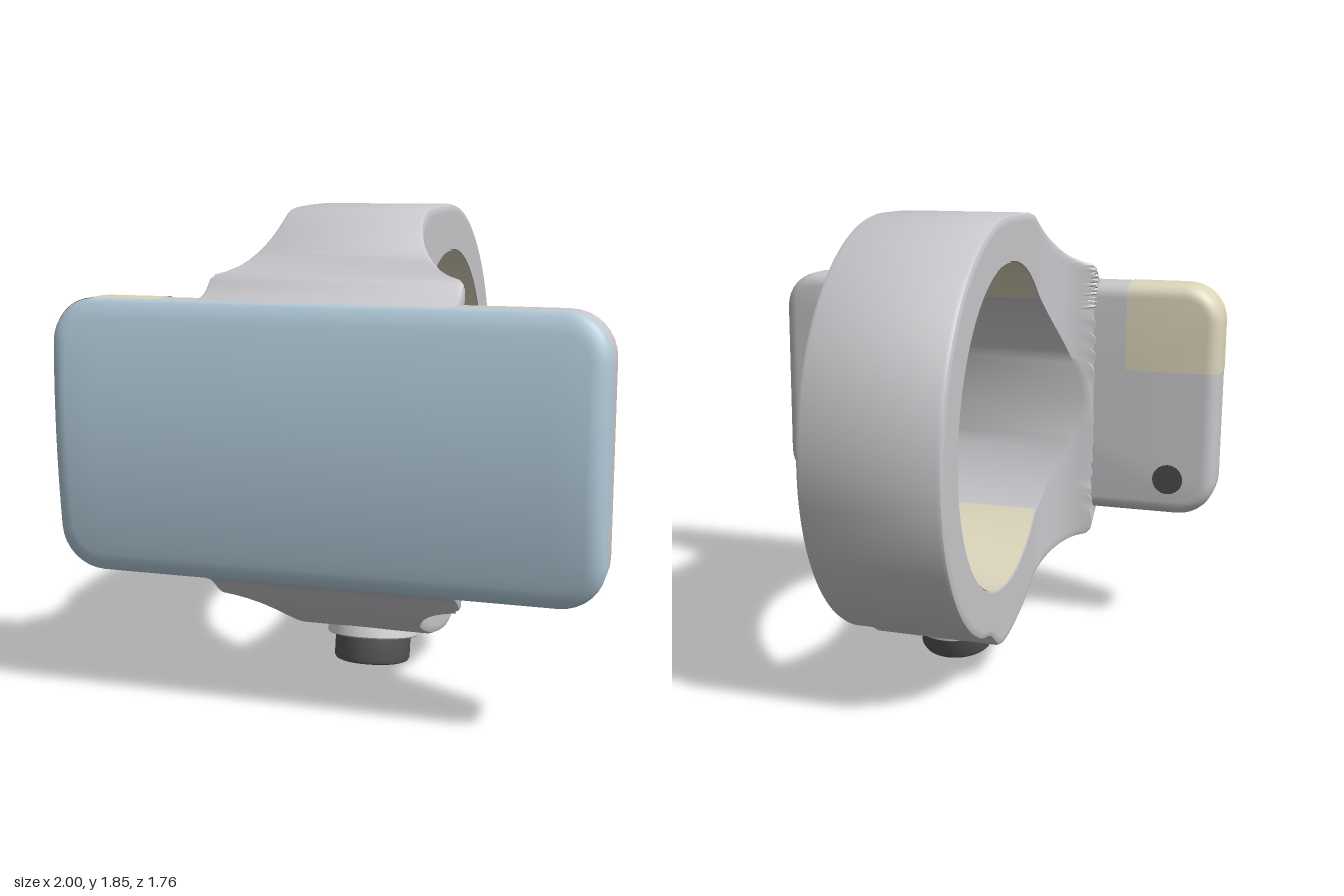
import * as THREE from 'three';
import { toCreasedNormals } from 'three/addons/utils/BufferGeometryUtils.js';

const mat = (name, color, side = THREE.FrontSide) => {
  const m = new THREE.MeshStandardMaterial({ color, side });
  m.name = name;
  return m;
};
const V = (x, y, z) => new THREE.Vector3(x, y, z);

// Skin a grid of points, rows by columns
function skin(rows, crease = 0.6) {
  const cols = rows[0].length, index = [];
  for (let i = 0; i < rows.length - 1; i++) {
    for (let j = 0; j < cols - 1; j++) {
      const a = i * cols + j, b = a + cols;
      index.push(a, b, b + 1, a, b + 1, a + 1);
    }
  }
  const g = new THREE.BufferGeometry().setFromPoints(rows.flat());
  g.setIndex(index);
  return toCreasedNormals(g, crease);
}

// Plate dimensions
const CY = 1.04, HX = 1, HY = 0.5, R = 0.16, BACK = 0.62, RIM = 0.8;

// Points of one rounded corner; inset shrinks it about its own centre
function corner(sx, sy, start, inset) {
  const pts = [];
  for (let k = 0; k <= 8; k++) {
    const a = start + (k / 8) * Math.PI / 2, r = R - inset;
    pts.push([sx * (HX - R) + r * Math.cos(a), CY + sy * (HY - R) + r * Math.sin(a)]);
  }
  return pts;
}

// Closed rounded rectangle with subdivided sides
function outline(inset) {
  const corners = [[1, 1], [-1, 1], [-1, -1], [1, -1]].map(([sx, sy], k) => corner(sx, sy, k * Math.PI / 2, inset));
  const pts = [];
  corners.forEach((c, k) => {
    pts.push(...c);
    const p = c[8], q = corners[(k + 1) % 4][0];
    for (let s = 1; s < 10; s++) pts.push([p[0] + (q[0] - p[0]) * s / 10, p[1] + (q[1] - p[1]) * s / 10]);
  });
  pts.push(pts[0]);
  return pts;
}

// Plate edge from the rim to the rounded back: [inset, z]
const edge = [[0, RIM]];
for (let k = 0; k <= 6; k++) {
  const a = (k / 6) * Math.PI / 2;
  edge.push([0.06 * (1 - Math.cos(a)), BACK + 0.06 * (1 - Math.sin(a))]);
}

function plateBody() {
  const rows = edge.map(([i, z]) => outline(i).map(([x, y]) => V(x, y, z)));
  rows.push(rows[0].map(() => V(0, CY, BACK)));
  return skin(rows);
}

// Thin shell over one upper corner of the plate
function cornerPanel() {
  const x0 = -0.6, y0 = 1.17, t = 0.003;
  const rows = edge.map(([i, z]) => {
    const n = i - t;
    return [[x0, CY + HY - n], ...corner(-1, 1, Math.PI / 2, n), [-HX + n, y0]].map(([x, y]) => V(x, y, z - t));
  });
  rows.push(rows[0].map(() => V(x0, y0, BACK - t)));
  return skin(rows);
}

// Screen bowed from top to bottom, with a rolled edge
function screenGeometry() {
  const dome = y => 0.88 - 0.24 * (y - CY) ** 2;
  const rows = [], roll = 0.07;
  const inner = outline(roll);
  for (let k = 0; k <= 8; k++) {
    rows.push(inner.map(([x, y]) => {
      const yy = CY + (y - CY) * k / 8;
      return V(x * k / 8, yy, dome(yy));
    }));
  }
  for (let k = 5; k >= 0; k--) {
    const a = (k / 6) * Math.PI / 2;
    rows.push(outline(roll * (1 - Math.cos(a))).map(([x, y]) => V(x, y, RIM + (dome(y) - RIM) * Math.sin(a))));
  }
  return skin(rows);
}

// Ring: round hole, shaped outside, sides flaring into the plate
const CZ = -0.05, RY = 1.035, HOLE = 0.65;
const halfWidth = z => {
  const d = Math.min(Math.max(z - 0.37, 0), 0.245);
  return 0.52 - Math.sqrt(0.0625 - d * d);
};

function ringGeometry() {
  const spline = (pts, n) => new THREE.CatmullRomCurve3(pts.map(([z, y]) => V(0, y, z)), false, 'centripetal').getPoints(n);
  const lower = spline([[-0.363, 0.262], [-0.25, 0.23], [-0.152, 0.163], [-0.093, 0.143], [0.03, 0.148],
    [0.226, 0.197], [0.42, 0.286], [0.594, 0.41], [0.69, 0.49], [0.79, 0.539]], 60);
  const upper = spline([[0.79, 1.537], [0.69, 1.56], [0.604, 1.63], [0.4, 1.81], [0.324, 1.845],
    [0.2, 1.855], [-0.05, 1.86]], 48);
  const outer = [...lower];
  for (let k = 1; k < 24; k++) outer.push(V(0, 0.539 + 0.998 * k / 24, 0.79));
  outer.push(...upper);
  const a0 = Math.PI / 2, a1 = Math.PI * 2 - Math.atan2(0.768, 0.313) + 0;
  const end = Math.PI + (a1 - Math.PI * 2 + Math.PI / 2) + Math.atan2(0.768, 0.313) * 2 - Math.PI / 2;
  for (let k = 1; k < 90; k++) {
    const a = a0 + (end - a0) * k / 90;
    outer.push(V(0, 1.03 + 0.83 * Math.sin(a), CZ + 0.83 * Math.cos(a)));
  }
  outer.push(outer[0]);

  const rows = outer.map(o => {
    const dir = V(0, o.y - RY, o.z - CZ), len = dir.length();
    dir.normalize();
    const half = [];
    const add = (r, cut) => {
      const z = CZ + dir.z * r;
      half.push(V(halfWidth(z) - cut, RY + dir.y * r, z));
    };
    for (let s = 0; s <= 14; s++) add(HOLE + (len - 0.02 - HOLE) * s / 14, 0);
    add(len - 0.006, 0.006);
    add(len, 0.02);
    const other = half.map(p => V(-p.x, p.y, p.z)).reverse();
    return [...half, ...other, half[0]];
  });
  return skin(rows);
}

const lathe = pts => toCreasedNormals(new THREE.LatheGeometry(pts.map(p => new THREE.Vector2(...p)), 48), 0.6);

export function createModel() {
  const grey = mat('light grey shell', 0xc8c8cc);
  const blue = mat('pale blue screen', 0xb0c9d8);
  const cream = mat('cream panel', 0xdcd5bb, THREE.DoubleSide);
  const gold = mat('gold contact', 0xccae58, THREE.DoubleSide);
  const dark = mat('dark grey knob', 0x58585c);
  const charcoal = mat('charcoal port', 0x4c4c4f, THREE.DoubleSide);
  const white = mat('off white collar', 0xdcdcda);

  const model = new THREE.Group();
  model.name = 'wristDevice';
  const add = (name, geometry, material, parent = model) => {
    const m = new THREE.Mesh(geometry, material);
    m.name = name;
    parent.add(m);
    return m;
  };

  add('ringBand', ringGeometry(), grey);
  add('plateBody', plateBody(), grey);
  add('screen', screenGeometry(), blue);
  add('cornerPanel', cornerPanel(), cream);

  // Lining round the back three quarters of the hole
  const lining = new THREE.CylinderGeometry(0.645, 0.645, 0.53, 96, 1, true, Math.PI / 4, Math.PI * 1.5);
  lining.rotateZ(Math.PI / 2);
  add('innerLining', lining, cream).position.set(0, RY, CZ);

  // Row of contacts on the lining
  for (const deg of [-21, -7, 7, 21]) {
    const a = Math.PI + deg * Math.PI / 180;
    const dot = add('contact', new THREE.CircleGeometry(0.05, 24), gold);
    dot.position.set(0, RY + 0.64 * Math.sin(a), CZ + 0.64 * Math.cos(a));
    dot.lookAt(0, RY, CZ);
  }

  // Round ports on the back of the plate
  for (const side of [-1, 1]) {
    const port = add(side > 0 ? 'leftPort' : 'rightPort', new THREE.CircleGeometry(0.065, 32), charcoal);
    port.rotation.y = Math.PI;
    port.position.set(side * 0.8, 0.7, BACK - 0.003);
  }

  // Tilted knob with its collar below the ring
  const knob = new THREE.Group();
  knob.name = 'knob';
  knob.position.set(0, 0.036, 0.15);
  knob.rotation.x = -0.2;
  model.add(knob);
  add('knobCap', lathe([[0, 0.006], [0.04, 0.006], [0.045, 0], [0.07, 0], [0.075, 0.006], [0.09, 0.006], [0.095, 0],
    [0.13, 0], [0.145, 0.006], [0.152, 0.02], [0.152, 0.15]]), dark, knob);
  add('knobCollar', lathe([[0, 0.11], [0.18, 0.11], [0.185, 0.115], [0.185, 0.165], [0, 0.165]]), white, knob);

  return model;
}
